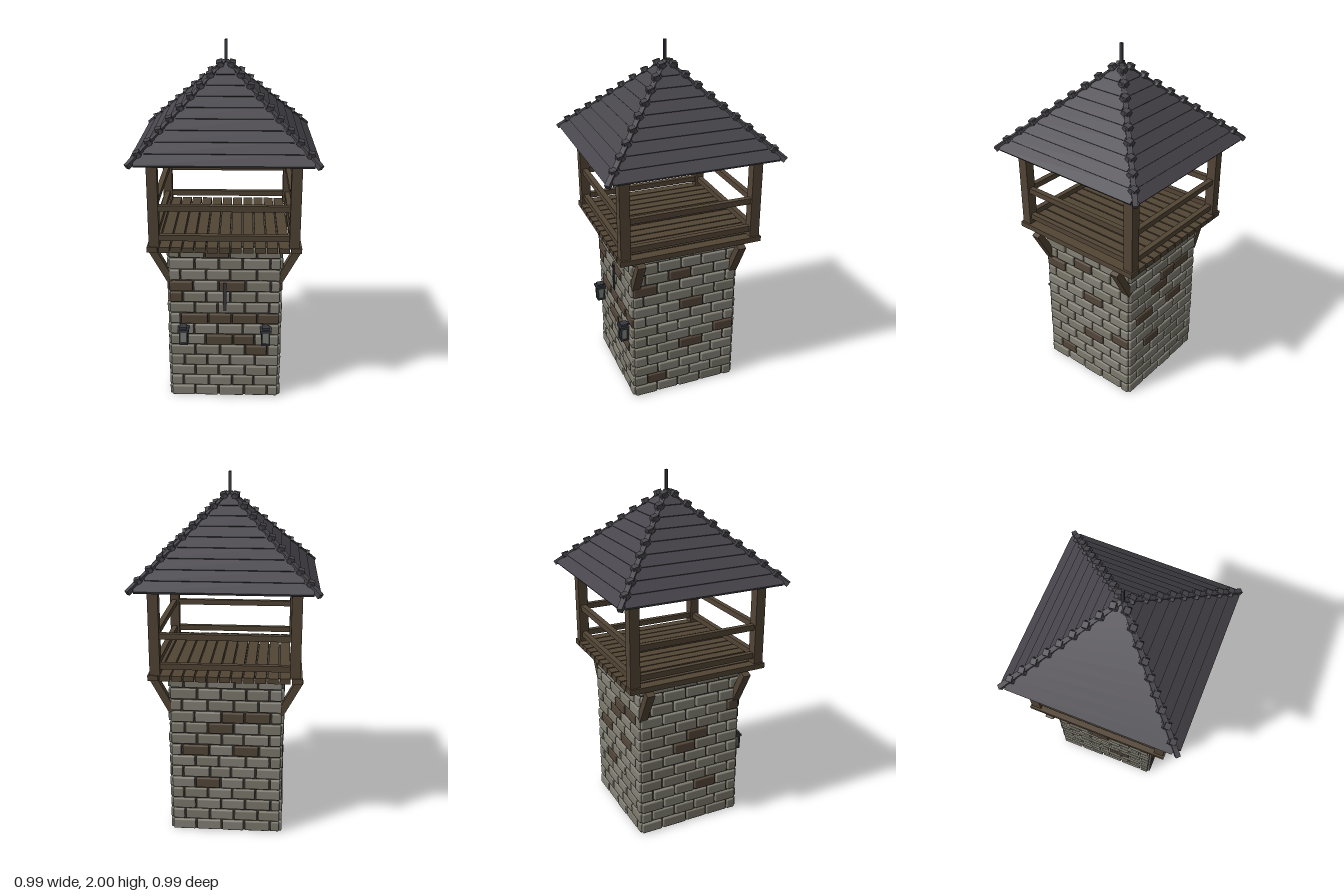
import * as THREE from 'three';
import { RoundedBoxGeometry } from 'three/addons/geometries/RoundedBoxGeometry.js';

const mat = (name, color) => Object.assign(new THREE.MeshStandardMaterial({ color }), { name });

export function createModel() {
  const root = new THREE.Group();
  root.name = 'watchtower';
  const M = {
    stone: mat('stone', 0x7d7a6e),
    paleStone: mat('pale stone', 0x858277),
    darkStone: mat('brown stone', 0x54473a),
    mortar: mat('mortar', 0x3f3d36),
    wood: mat('wood', 0x524535),
    slate: mat('slate', 0x47454b),
    iron: mat('iron', 0x383a40),
    glass: mat('lantern glass', 0x7c8078),
  };
  let seed = 7;
  const rnd = () => (seed = (seed * 16807) % 2147483647) / 2147483647;

  const group = (name, parent = root) => {
    const g = new THREE.Group();
    g.name = name;
    parent.add(g);
    return g;
  };
  const add = (parent, name, geo, material, x, y, z) => {
    const m = new THREE.Mesh(geo, material);
    m.name = name;
    m.position.set(x, y, z);
    parent.add(m);
    return m;
  };
  const box = (parent, name, material, w, h, d, x, y, z) =>
    add(parent, name, new THREE.BoxGeometry(w, h, d), material, x, y, z);
  // Straight bar between two points
  const beam = (parent, name, material, a, b, w, h) => {
    const p = new THREE.Vector3(...a), q = new THREE.Vector3(...b);
    const c = p.clone().add(q).multiplyScalar(0.5);
    const m = box(parent, name, material, w, h, p.distanceTo(q), c.x, c.y, c.z);
    m.lookAt(q);
    return m;
  };

  // Stone shaft: mortar core with staggered bricks on four walls
  box(root, 'core', M.mortar, 0.6, 0.94, 0.6, 0, 0.47, 0);
  // Brown bricks per wall: [row, position along the wall]
  const walls = [
    { name: 'frontWall', turn: 0, dark: [[13, -0.04], [10, -0.22], [10, 0.06], [9, -0.27], [7, -0.16], [7, -0.02],
      [7, 0.11], [7, 0.25], [5, -0.04], [5, 0.1], [4, 0.19]] },
    { name: 'rightWall', turn: 1, dark: [[11, 0.03], [10, -0.18], [8, 0.09], [5, 0.27], [4, 0.1], [1, -0.12]] },
    { name: 'backWall', turn: 2, dark: [[10, 0.1], [10, 0.24], [7, -0.2], [7, 0.1], [4, -0.06], [9, -0.03]] },
    { name: 'leftWall', turn: 3, dark: [[10, 0.26], [8, 0.06], [7, -0.1], [7, 0.03], [3, 0.05]] },
  ];
  const rows = 14, pitch = 0.94 / rows, step = 0.137, end = 0.308;
  for (const { name, turn, dark } of walls) {
    const wall = group(name);
    wall.rotation.y = turn * Math.PI / 2;
    for (let r = 0; r < rows; r++) {
      const cuts = [-end];
      for (let k = -3; k <= 3; k++) {
        const c = (r % 2 ? -0.1 : -0.03) + k * step + (rnd() - 0.5) * 0.02;
        if (Math.abs(c) < end - 0.03) cuts.push(c);
      }
      cuts.push(end);
      for (let i = 0; i + 1 < cuts.length; i++) {
        const a = cuts[i], b = cuts[i + 1];
        const brown = dark.some(([dr, p]) => dr === r && p >= a && p < b);
        const m = brown ? M.darkStone : rnd() < 0.5 ? M.stone : M.paleStone;
        const geo = new RoundedBoxGeometry(b - a - 0.008, pitch - 0.008, 0.04, 1, 0.007);
        add(wall, 'brick', geo, m, (a + b) / 2, (r + 0.5) * pitch, 0.297 + (rnd() - 0.5) * 0.006);
      }
    }
  }

  // Plank platform
  const deck = group('platform');
  for (let i = 0; i < 13; i++)
    box(deck, 'plank', M.wood, 0.056, 0.03, 0.81, (i - 6) * 0.0635, 0.96, 0);

  // Diagonal braces
  const braces = group('braces');
  for (const sx of [-1, 1]) for (const sz of [-1, 1])
    beam(braces, 'brace', M.wood, [sx * 0.295, 0.735, sz * 0.29], [sx * 0.4, 0.93, sz * 0.29], 0.045, 0.04);

  // Corner posts, railings and top beams
  const frame = group('frame');
  for (let s = 0; s < 4; s++) {
    const side = group('frameSide', frame);
    side.rotation.y = s * Math.PI / 2;
    box(side, 'post', M.wood, 0.055, 0.49, 0.055, 0.37, 1.215, 0.37);
    box(side, 'lowerRail', M.wood, 0.69, 0.032, 0.03, 0, 1.02, 0.37);
    box(side, 'upperRail', M.wood, 0.69, 0.032, 0.03, 0, 1.185, 0.37);
    box(side, 'topBeam', M.wood, 0.74, 0.03, 0.05, 0, 1.458, 0.37);
  }

  // Roof: nine overlapping courses a side, hip rafters and ridge caps
  const roof = group('roof');
  for (let s = 0; s < 4; s++) {
    const side = group('roofSide', roof);
    side.rotation.y = s * Math.PI / 2;
    for (let i = 0; i < 9; i++) {
      const out = 0.05 * i, up = 0.048 * i;
      const slab = box(side, 'course', M.slate, 2 * (0.45 - out), 0.016, 0.085, 0, 1.466 + up, 0.446 - out);
      slab.rotation.x = 0.69;
      const cap = box(side, 'ridgeCap', M.slate, 0.032, 0.032, 0.032, 0.433 - out, 1.49 + up, 0.433 - out);
      cap.rotation.set(0.25, 0, -0.25);
    }
    beam(side, 'hipRafter', M.slate, [0.48, 1.437, 0.48], [0, 1.885, 0], 0.026, 0.026);
  }
  box(root, 'spire', M.iron, 0.014, 0.15, 0.014, 0, 1.925, 0);

  // Iron bar and wall lanterns on the front
  box(root, 'ironBar', M.iron, 0.02, 0.17, 0.012, 0, 0.645, 0.319);
  for (const sx of [-1, 1]) {
    const lantern = group('lantern');
    lantern.position.set(sx * 0.23, 0, 0.343);
    box(lantern, 'bracket', M.iron, 0.02, 0.02, 0.05, 0, 0.465, -0.015);
    box(lantern, 'cap', M.iron, 0.062, 0.014, 0.058, 0, 0.455, 0);
    box(lantern, 'capTop', M.iron, 0.04, 0.014, 0.04, 0, 0.469, 0);
    box(lantern, 'glass', M.glass, 0.036, 0.075, 0.036, 0, 0.412, 0);
    box(lantern, 'base', M.iron, 0.05, 0.01, 0.048, 0, 0.372, 0);
    for (const px of [-1, 1]) for (const pz of [-1, 1])
      box(lantern, 'lanternPost', M.iron, 0.009, 0.08, 0.009, px * 0.02, 0.412, pz * 0.019);
  }
  return root;
}
